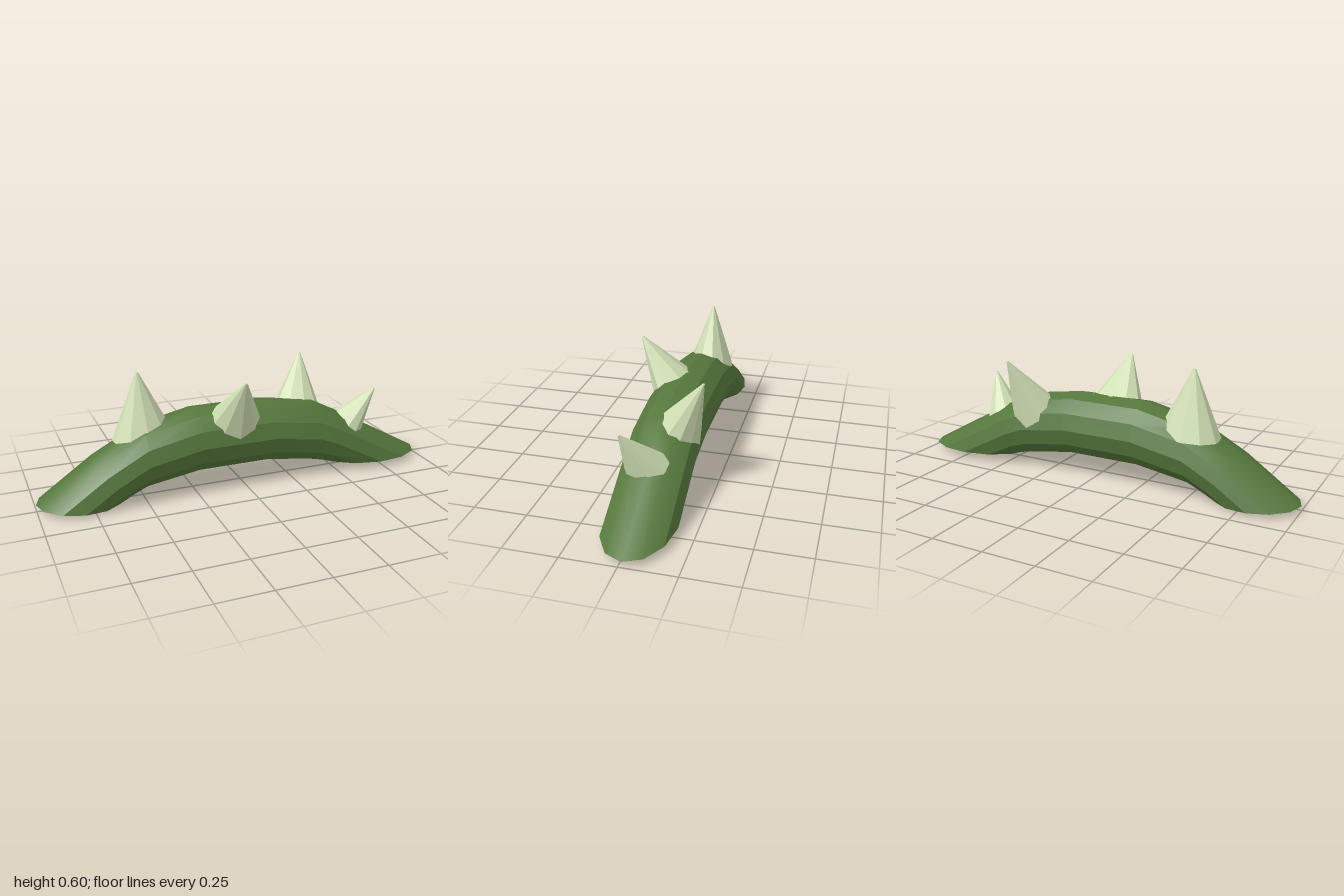
import * as THREE from 'three';
import { toCreasedNormals } from 'three/addons/utils/BufferGeometryUtils.js';

const SIDES = 12, RADIUS = 0.161, MID_Z = -0.016;

// Ring stations along the arch: top x, top y, bottom x, bottom y
const STATIONS = [
  [-1, 0.025, -0.6, 0],
  [-0.73, 0.214, -0.565, 0.016],
  [-0.49, 0.345, -0.49, 0.05],
  [-0.23, 0.402, -0.23, 0.09],
  [0.13, 0.402, 0.13, 0.09],
  [0.39, 0.362, 0.36, 0.054],
  [0.52, 0.295, 0.42, 0.043],
  [1, 0.028, 0.45, 0.04],
];

// Arched stem, lofted through the rings with slanted flat ends
function stemGeometry() {
  const pos = [], index = [];
  for (const [tx, ty, bx, by] of STATIONS) {
    for (let i = 0; i < SIDES; i++) {
      const a = (i / SIDES) * Math.PI * 2, c = Math.cos(a) / 2;
      pos.push((tx + bx) / 2 + (tx - bx) * c, (ty + by) / 2 + (ty - by) * c, MID_Z + RADIUS * Math.sin(a));
    }
  }
  const last = (STATIONS.length - 1) * SIDES;
  for (let r = 0; r < last; r += SIDES) {
    for (let i = 0; i < SIDES; i++) {
      const j = (i + 1) % SIDES;
      const a = r + i, b = r + j, c = a + SIDES, d = b + SIDES;
      index.push(a, b, c, b, d, c);
    }
  }
  for (let i = 1; i < SIDES - 1; i++) {
    index.push(0, i + 1, i, last, last + i, last + i + 1);
  }
  const g = new THREE.BufferGeometry();
  g.setAttribute('position', new THREE.Float32BufferAttribute(pos, 3));
  g.setIndex(index);
  return toCreasedNormals(g, 0.5);
}

// Thorn: oval cone from a base centre to a tip, its foot sunk into the stem
function thornGeometry(base, tip, along, across) {
  const b = new THREE.Vector3(...base), t = new THREE.Vector3(...tip);
  const sink = 1.15;
  const axis = t.clone().sub(b).multiplyScalar(sink);
  const dir = axis.clone().normalize();
  const u = new THREE.Vector3(1, 0, 0);
  u.addScaledVector(dir, -u.dot(dir)).normalize();
  const v = u.clone().cross(dir);
  const g = new THREE.CylinderGeometry(0.04, 1, 1, 10);
  g.translate(0, -0.5, 0);
  const m = new THREE.Matrix4().makeBasis(
    u.multiplyScalar(along * sink), axis, v.multiplyScalar(across * sink));
  return g.applyMatrix4(m.setPosition(t));
}

// Base centre, tip, half width along the stem, half width across it
const THORNS = [
  [[-0.475, 0.32, -0.045], [-0.49, 0.595, -0.05], 0.132, 0.1],
  [[-0.05, 0.335, 0.053], [-0.05, 0.565, 0.206], 0.138, 0.104],
  [[0.345, 0.31, -0.088], [0.41, 0.557, -0.206], 0.12, 0.1],
  [[0.59, 0.235, 0.012], [0.69, 0.417, 0.086], 0.078, 0.093],
];

export function createModel() {
  const model = new THREE.Group();
  model.name = 'thornyVine';

  const stem = new THREE.Mesh(stemGeometry(), new THREE.MeshStandardMaterial({ color: 0x55773c }));
  stem.name = 'stem';
  model.add(stem);

  const thornMaterial = new THREE.MeshStandardMaterial({ color: 0xd0dfb4, flatShading: true });
  THORNS.forEach((spec, i) => {
    const thorn = new THREE.Mesh(thornGeometry(...spec), thornMaterial);
    thorn.name = `thorn${i + 1}`;
    model.add(thorn);
  });
  return model;
}
